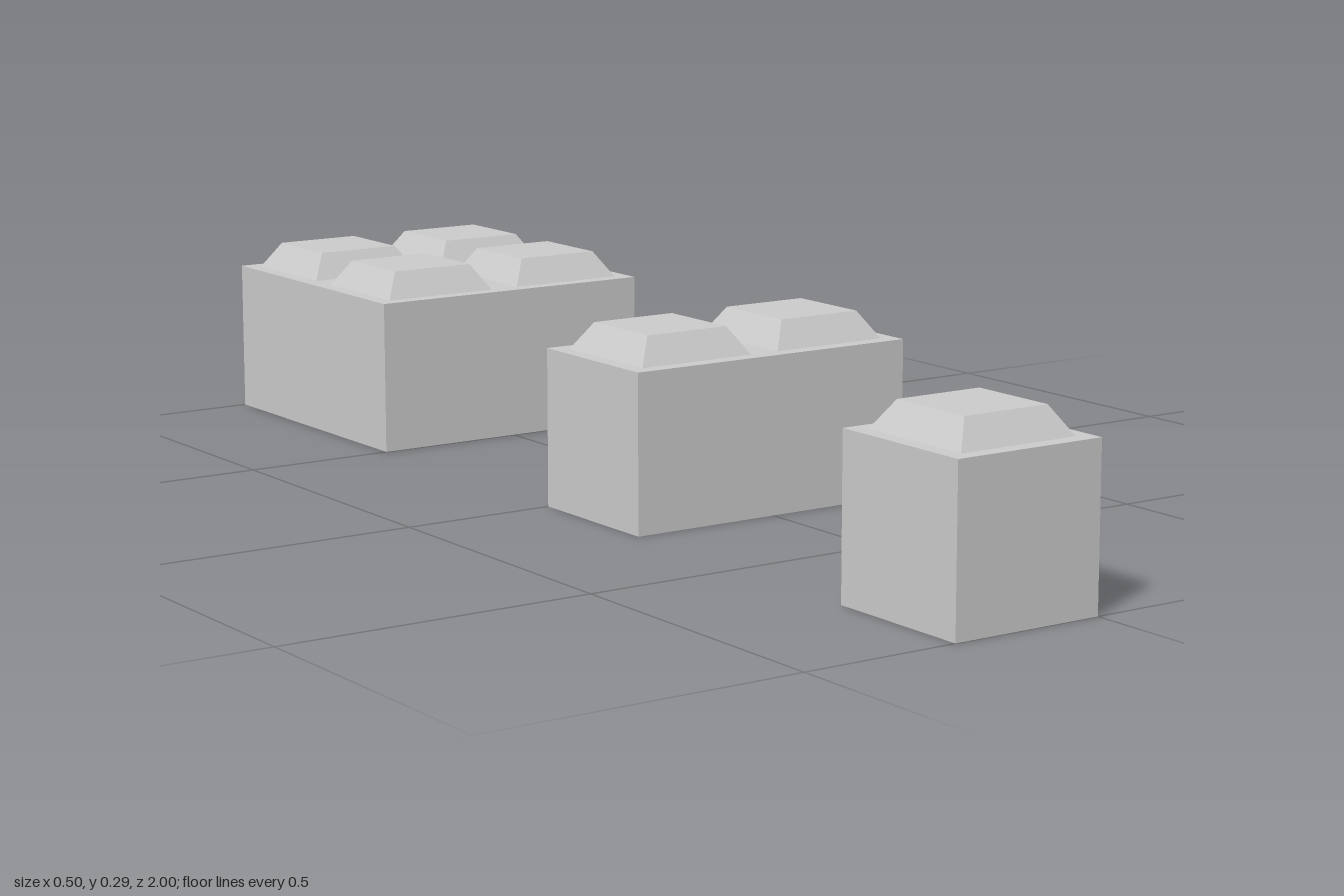
import * as THREE from 'three';
import { mergeGeometries } from 'three/addons/utils/BufferGeometryUtils.js';

const UNIT = 0.25;        // one block cell
const STUD_BASE = 0.1;    // half width of a stud at its foot
const STUD_TOP = 0.0725;  // half width of a stud at its top
const STUD_HEIGHT = 0.043;

const material = new THREE.MeshStandardMaterial({ color: 0xcccccc, flatShading: true });

function part(name, geometry) {
  const mesh = new THREE.Mesh(geometry, material);
  mesh.name = name;
  return mesh;
}

function faceted(geometry) {
  const flat = geometry.toNonIndexed();
  flat.computeVertexNormals();
  return flat;
}

// Four sloping or upright sides standing on y = 0, without end caps
function fourSides(topHalf, baseHalf, height) {
  return new THREE.CylinderGeometry(topHalf * Math.SQRT2, baseHalf * Math.SQRT2, height, 4, 1, true)
    .rotateY(Math.PI / 4)
    .translate(0, height / 2, 0);
}

// Tapered square stud, open below
function studGeometry() {
  const cap = new THREE.PlaneGeometry(STUD_TOP * 2, STUD_TOP * 2)
    .rotateX(-Math.PI / 2)
    .translate(0, STUD_HEIGHT, 0);
  return faceted(mergeGeometries([fourSides(STUD_TOP, STUD_BASE, STUD_HEIGHT), cap]));
}

// The same form turned inside out by mirroring
function socketGeometry() {
  const geometry = studGeometry().scale(1, 1, -1);
  geometry.computeVertexNormals();
  return geometry;
}

// Flat plate in x/y with a square opening at every cell
function plateGeometry(width, depth, cells) {
  const rectangle = (path, x, y, hx, hy) => path
    .moveTo(x - hx, y - hy).lineTo(x + hx, y - hy)
    .lineTo(x + hx, y + hy).lineTo(x - hx, y + hy).closePath();
  const shape = rectangle(new THREE.Shape(), 0, 0, width / 2, depth / 2);
  for (const [x, z] of cells) {
    shape.holes.push(rectangle(new THREE.Path(), x, z, STUD_BASE, STUD_BASE));
  }
  return new THREE.ShapeGeometry(shape);
}

function createBlock(name, columns, rows) {
  const block = new THREE.Group();
  block.name = name;
  const width = columns * UNIT, depth = rows * UNIT;
  const cells = [];
  for (let i = 0; i < columns; i++) {
    for (let j = 0; j < rows; j++) {
      cells.push([(i - (columns - 1) / 2) * UNIT, (j - (rows - 1) / 2) * UNIT]);
    }
  }

  // Body: upright walls, top plate and bottom plate
  block.add(part('walls', faceted(fourSides(0.5, 0.5, UNIT).scale(width, 1, depth))));
  block.add(part('topPlate', plateGeometry(width, depth, cells).rotateX(-Math.PI / 2).translate(0, UNIT, 0)));
  block.add(part('bottomPlate', plateGeometry(width, depth, cells).rotateX(Math.PI / 2)));

  // A stud above and a matching socket below each cell
  const stud = studGeometry(), socket = socketGeometry();
  for (const [x, z] of cells) {
    const studMesh = part('stud', stud);
    studMesh.position.set(x, UNIT, z);
    const socketMesh = part('socket', socket);
    socketMesh.position.set(x, 0, z);
    block.add(studMesh, socketMesh);
  }
  return block;
}

export function createModel() {
  const model = new THREE.Group();
  model.name = 'buildingBlocks';
  const blocks = [
    ['singleBlock', 1, 1, -0.125, 0.875],
    ['doubleBlock', 2, 1, 0, 0.125],
    ['quadBlock', 2, 2, 0, -0.75],
  ];
  for (const [name, columns, rows, x, z] of blocks) {
    const block = createBlock(name, columns, rows);
    block.position.set(x, 0, z);
    model.add(block);
  }
  return model;
}
